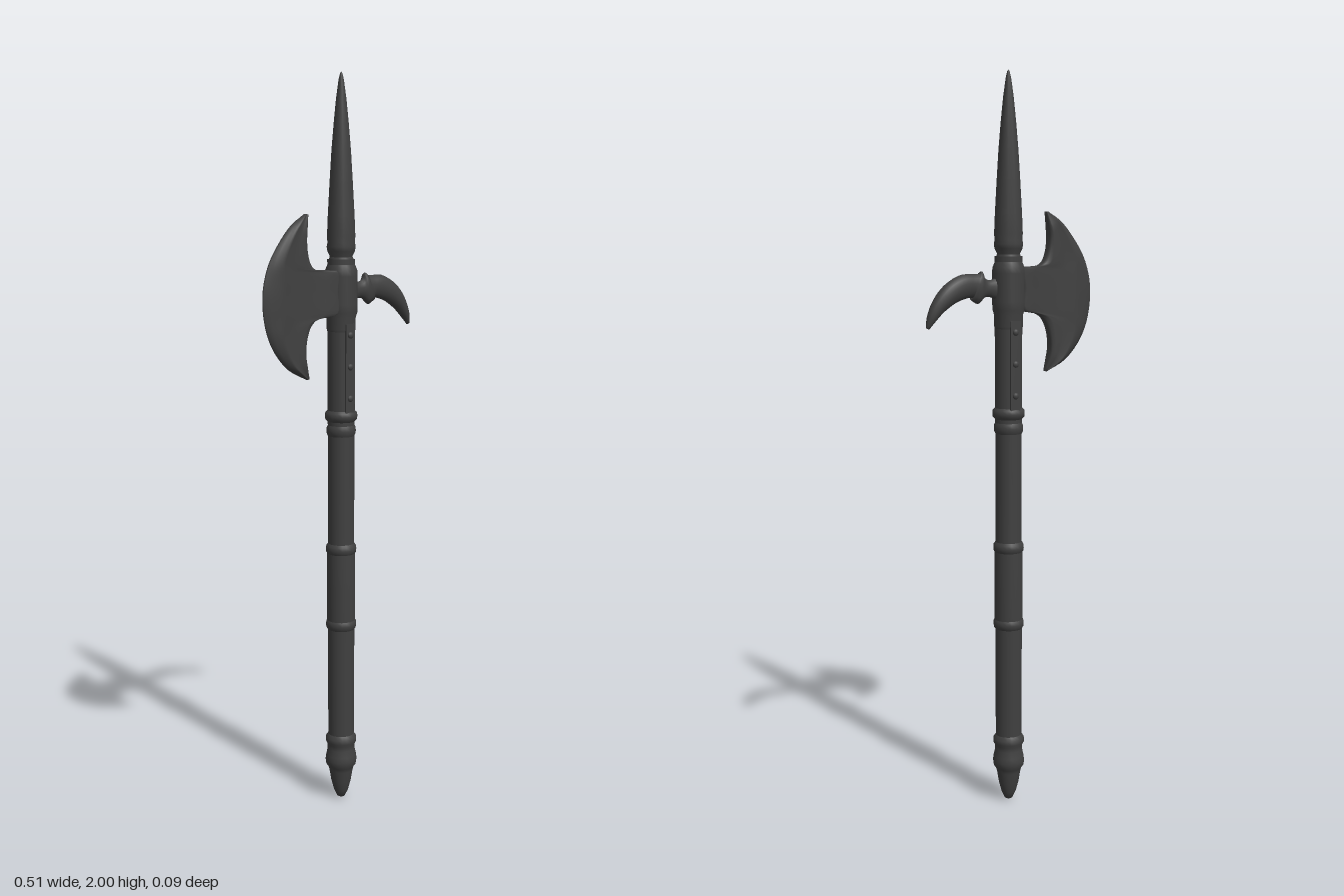
import * as THREE from 'three';

const darkIron = new THREE.MeshStandardMaterial({ color: 0x404040 });
darkIron.name = 'dark iron';
const AXIS = 0.005; // x of the shaft axis

const v2 = (list) => list.map(([x, y]) => new THREE.Vector2(x, y));

function add(group, name, geometry, x = 0, y = 0, z = 0) {
  const mesh = new THREE.Mesh(geometry, darkIron);
  mesh.name = name;
  mesh.position.set(x, y, z);
  group.add(mesh);
  return mesh;
}

// Skin a list of equal-length closed rings, with both ends capped
function loft(rings) {
  const n = rings[0].length, index = [], pos = rings.flat(2);
  for (let i = 0; i < rings.length - 1; i++) {
    for (let j = 0; j < n; j++) {
      const a = i * n + j, b = i * n + (j + 1) % n;
      index.push(a, b, a + n, b, b + n, a + n);
    }
  }
  const last = (rings.length - 1) * n;
  for (let j = 1; j < n - 1; j++) {
    index.push(0, j + 1, j, last, last + j, last + j + 1);
  }
  const g = new THREE.BufferGeometry();
  g.setAttribute('position', new THREE.Float32BufferAttribute(pos, 3));
  g.setIndex(index);
  g.computeVertexNormals();
  return g;
}

// Crescent blade: cross-sections run from the inner edge to the cutting edge
function bladeGeometry() {
  const inner = new THREE.SplineCurve(v2([
    [-0.11, 1.637], [-0.119, 1.575], [-0.11, 1.52], [-0.085, 1.493], [-0.02, 1.487], [-0.02, 1.435],
    [-0.02, 1.38], [-0.085, 1.364], [-0.113, 1.33], [-0.123, 1.27], [-0.108, 1.209]]));
  const outer = new THREE.SplineCurve(v2([
    [-0.118, 1.637], [-0.16, 1.61], [-0.2, 1.565], [-0.232, 1.515], [-0.249, 1.465], [-0.254, 1.42],
    [-0.25, 1.37], [-0.236, 1.32], [-0.21, 1.275], [-0.17, 1.235], [-0.114, 1.207]]));
  const section = [[0, 0.008], [0.06, 0.015], [0.2, 0.016], [0.4, 0.014], [0.62, 0.013],
    [0.74, 0.016], [0.82, 0.015], [0.92, 0.009], [1, 0.003]];
  const rings = [];
  for (let i = 0; i <= 50; i++) {
    const a = inner.getPoint(i / 50), b = outer.getPoint(i / 50);
    const thin = Math.min(1, 0.3 + a.distanceTo(b) / 0.06);
    const front = section.map(([s, h]) => {
      const p = a.clone().lerp(b, s);
      const flare = 0.016 * THREE.MathUtils.smoothstep(p.x, -0.085, -0.03);
      return [p.x, p.y, h * thin + flare];
    });
    const back = front.map(([x, y, z]) => [x, y, -z]).reverse();
    rings.push([...front, ...back]);
  }
  return loft(rings);
}

// Curved beak: elliptical sections given as x, y, half height, half depth
function hookGeometry() {
  const stations = [
    [0.02, 1.435, 0.034, 0.022], [0.045, 1.435, 0.028, 0.014], [0.065, 1.436, 0.022, 0.013],
    [0.08, 1.437, 0.027, 0.014], [0.09, 1.438, 0.042, 0.017], [0.101, 1.44, 0.041, 0.017],
    [0.112, 1.443, 0.031, 0.017], [0.14, 1.442, 0.032, 0.019], [0.17, 1.43, 0.03, 0.021],
    [0.195, 1.412, 0.026, 0.021], [0.218, 1.388, 0.02, 0.018], [0.236, 1.36, 0.013, 0.013],
    [0.247, 1.336, 0.005, 0.005]];
  const path = new THREE.SplineCurve(v2(stations));
  const sizes = new THREE.SplineCurve(v2(stations.map((s) => [s[2], s[3]])));
  const rings = [];
  for (let i = 0; i <= 36; i++) {
    const t = i / 36, p = path.getPoint(t), d = path.getTangent(t), s = sizes.getPoint(t);
    rings.push(Array.from({ length: 14 }, (_, j) => {
      const a = j / 14 * Math.PI * 2, h = s.x * Math.cos(a);
      return [p.x - d.y * h, p.y + d.x * h, s.y * Math.sin(a)];
    }));
  }
  return loft(rings);
}

export function createModel() {
  const group = new THREE.Group();
  group.name = 'halberd';

  // Shaft with its slightly thicker grip
  add(group, 'shaft', new THREE.LatheGeometry(v2([
    [0.034, 0.09], [0.036, 0.2], [0.037, 0.5], [0.039, 0.53], [0.039, 0.71], [0.036, 0.74],
    [0.036, 1.06], [0.037, 1.11], [0.037, 1.52]]), 20), AXIS);

  // Pointed foot
  add(group, 'foot', new THREE.LatheGeometry(v2([
    [0, 0], [0.011, 0.006], [0.02, 0.025], [0.028, 0.055], [0.033, 0.085], [0.036, 0.096],
    [0.042, 0.104], [0.044, 0.118], [0.042, 0.132], [0.038, 0.15], [0.038, 0.163],
    [0.043, 0.172], [0.043, 0.184], [0.036, 0.194]]), 20), AXIS);

  // Rounded collars along the shaft
  for (const [y, r] of [[0.515, 0.042], [0.73, 0.042], [1.06, 0.04], [1.1, 0.044]]) {
    add(group, 'collar', new THREE.LatheGeometry(v2([
      [0.035, -0.017], [r - 0.001, -0.009], [r, 0], [r - 0.001, 0.009], [0.035, 0.017]]), 20), AXIS, y);
  }

  // Socket that carries the blade and hook
  add(group, 'socket', new THREE.LatheGeometry(v2([
    [0.036, 1.325], [0.039, 1.335], [0.039, 1.365], [0.043, 1.378], [0.044, 1.4], [0.043, 1.435],
    [0.044, 1.475], [0.043, 1.49], [0.038, 1.502], [0.034, 1.515], [0.031, 1.525]]), 20), AXIS);

  // Long top spike
  add(group, 'spike', new THREE.LatheGeometry(v2([
    [0.029, 1.51], [0.031, 1.528], [0.037, 1.54], [0.039, 1.552], [0.037, 1.562], [0.038, 1.58],
    [0.036, 1.63], [0.031, 1.72], [0.026, 1.8], [0.02, 1.87], [0.014, 1.93], [0.007, 1.98],
    [0.003, 1.996], [0, 2]]), 12), AXIS);

  add(group, 'axeBlade', bladeGeometry());
  add(group, 'hook', hookGeometry());

  // Riveted straps below the socket, front and back
  for (const side of [1, -1]) {
    add(group, 'strap', new THREE.BoxGeometry(0.03, 0.24, 0.008), AXIS, 1.23, side * 0.035);
    for (const y of [1.15, 1.235, 1.32]) {
      const rivet = add(group, 'rivet', new THREE.SphereGeometry(0.009, 10, 8), AXIS, y, side * 0.039);
      rivet.scale.z = 0.6;
    }
  }
  return group;
}
